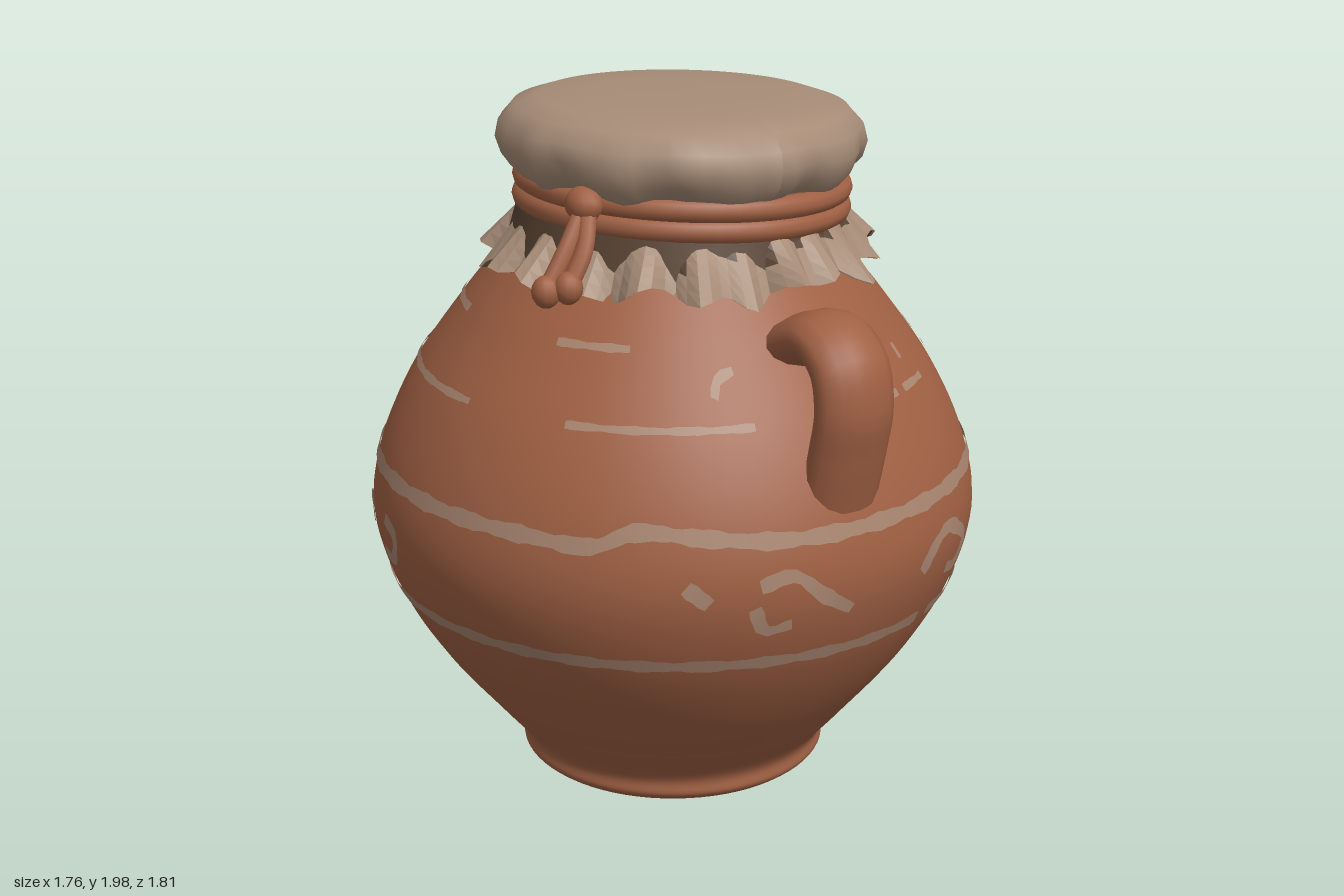
import * as THREE from 'three';

const mat = (name, color, side = THREE.FrontSide) => {
  const m = new THREE.MeshStandardMaterial({ color, side });
  m.name = name;
  return m;
};

export function createModel() {
  const root = new THREE.Group();
  root.name = 'coveredClayJar';
  const clay = mat('clay', 0xa06043);
  const paint = mat('palePaint', 0xa88570, THREE.DoubleSide);
  const cloth = mat('cloth', 0xa78c77, THREE.DoubleSide);
  const shade = mat('darkBrown', 0x594433, THREE.DoubleSide);

  const add = (name, geo, material, parent = root) => {
    const m = new THREE.Mesh(geo, material);
    m.name = name;
    parent.add(m);
    return m;
  };
  const v2 = (list) => list.map(([x, y]) => new THREE.Vector2(x, y));
  const v3 = (list) => list.map((p) => new THREE.Vector3(...p));

  // Jar body
  const profile = new THREE.SplineCurve(v2([
    [0.425, 0.01], [0.45, 0.035], [0.455, 0.09], [0.545, 0.2], [0.705, 0.4], [0.82, 0.6], [0.875, 0.8],
    [0.845, 0.99], [0.75, 1.2], [0.61, 1.4], [0.53, 1.5], [0.47, 1.57],
  ])).getPoints(66);
  add('jarBody', new THREE.LatheGeometry(profile, 72), clay);
  const base = add('jarBase', new THREE.CircleGeometry(0.425, 72), clay);
  base.rotation.x = Math.PI / 2;
  base.position.y = 0.01;
  add('jarNeck', new THREE.CylinderGeometry(0.43, 0.505, 0.27, 40, 1, true), shade).position.set(0.015, 1.645, 0);

  // Radius of the body at a height
  const radiusAt = (y) => {
    let i = 1;
    while (i < profile.length - 1 && profile[i].y < y) i++;
    const a = profile[i - 1], b = profile[i];
    return a.x + (b.x - a.x) * (y - a.y) / (b.y - a.y);
  };

  // Painted stroke on the body through [degrees, height] points
  const decoration = new THREE.Group();
  decoration.name = 'paintedDecoration';
  root.add(decoration);
  const stroke = (name, pts, width, closed = false) => {
    const R = 0.85;
    const curve = new THREE.CatmullRomCurve3(
      pts.map(([a, y]) => new THREE.Vector3(THREE.MathUtils.degToRad(a) * R, y, 0)), closed, 'centripetal');
    const n = Math.max(4, Math.ceil(curve.getLength() / 0.025));
    const pos = [], index = [];
    for (let i = 0; i <= n; i++) {
      const p = curve.getPointAt(i / n), t = curve.getTangentAt(i / n);
      const w = width * (0.5 + 0.08 * Math.sin(i * 0.9) + 0.05 * Math.sin(i * 2.3));
      for (const s of [1, -1]) {
        const a = (p.x - t.y * w * s) / R, y = p.y + t.x * w * s, r = radiusAt(y) + 0.005;
        pos.push(r * Math.sin(a), y, r * Math.cos(a));
      }
      if (i < n) index.push(2 * i, 2 * i + 1, 2 * i + 3, 2 * i, 2 * i + 3, 2 * i + 2);
    }
    const g = new THREE.BufferGeometry();
    g.setAttribute('position', new THREE.Float32BufferAttribute(pos, 3));
    g.setIndex(index);
    g.computeVertexNormals();
    add(name, g, paint, decoration);
  };

  // Bands around the belly
  stroke('upperBand', [[-180, 0.97], [-60, 0.965], [-45, 0.96], [-38, 1.0], [-25, 0.985], [-10, 0.965], [90, 0.975], [180, 0.97]], 0.042);
  stroke('lowerBand', [[-180, 0.61], [-40, 0.615], [24, 0.605]], 0.036);
  stroke('lowerBand', [[28, 0.605], [90, 0.615], [180, 0.61]], 0.036);

  // Lattice and scrolls on the right side, mirrored about its middle
  for (const s of [-1, 1]) {
    const at = (list) => list.map(([u, y]) => [91 + s * THREE.MathUtils.radToDeg(Math.asin(u / 0.86)), y]);
    stroke('latticeDiagonal', at([[0, 0.92], [0.11, 0.79], [0.22, 0.67]]), 0.05);
    stroke('latticePeak', at([[0, 0.91], [0.07, 0.97]]), 0.05);
    stroke('latticeFoot', at([[0.24, 0.7], [0.24, 0.62]]), 0.09);
    stroke('latticeScroll', at([[0.2, 0.66], [0.3, 0.72], [0.39, 0.8], [0.37, 0.87], [0.29, 0.91], [0.22, 0.88], [0.27, 0.85]]), 0.042);
    stroke('latticeTop', at([[0.13, 0.96], [0.2, 0.88]]), 0.05);
  }
  stroke('latticeDot', [[91, 0.755], [91, 0.69]], 0.06);

  // Loose scrolls, [middle angle, mirror]
  for (const [c, s] of [[29, 1], [151, -1]]) {
    stroke('scroll', [[-9, 0.77], [-5, 0.83], [0, 0.86], [5, 0.83], [9, 0.78], [6, 0.72], [1, 0.73]]
      .map(([a, y]) => [c + a * s, y]), 0.04);
  }
  for (const c of [-8, 197]) {
    stroke('scroll', [[-8, 0.85], [-2, 0.87], [4, 0.8], [10, 0.74]].map(([a, y]) => [c + a, y]), 0.038);
    stroke('scrollHook', [[-9, 0.79], [-7, 0.72], [-2, 0.73]].map(([a, y]) => [c + a, y]), 0.034);
  }
  stroke('mark', [[-29, 0.86], [-25, 0.81]], 0.04);
  stroke('mark', [[171, 0.84], [176, 0.78]], 0.04);
  stroke('mark', [[210, 0.86], [217, 0.86]], 0.03);
  stroke('mark', [[236, 0.84], [236, 0.75]], 0.04);
  stroke('mark', [[246, 0.83], [251, 0.85], [253, 0.79]], 0.032);
  stroke('mark', [[262, 0.85], [267, 0.82], [265, 0.74], [260, 0.74]], 0.036);

  // Thin shoulder lines and dashes
  for (const [a, b, y] of [[-54, -14, 1.24], [22, 26, 1.24], [29, 40, 1.24], [62, 67, 1.235], [211, 280, 1.24],
    [-62, -42, 1.42], [231, 258, 1.42]]) {
    stroke('shoulderLine', [[a, y], [(a + b) / 2, y], [b, y]], 0.018);
  }
  for (const a of [35, 60, 84, 97, 103]) stroke('shoulderDash', [[a, 1.3], [a, 1.34]], 0.02);
  stroke('shoulderHook', [[-22, 1.31], [-21, 1.35], [-17, 1.37]], 0.026);

  // Loop handles, front and back
  for (const [s, x] of [[1, 0.045], [-1, -0.035]]) {
    const path = new THREE.CatmullRomCurve3(v3([
      [0, 1.38, 0.55], [0, 1.43, 0.63], [0, 1.455, 0.72], [0, 1.4, 0.81], [0, 1.29, 0.838], [0, 1.17, 0.815], [0, 1.02, 0.775],
    ]));
    const h = add(s > 0 ? 'frontHandle' : 'backHandle', new THREE.TubeGeometry(path, 32, 0.071, 14), clay);
    h.scale.x = 1.65;
    h.position.x = x;
    if (s < 0) h.rotation.y = Math.PI;
  }

  // Cloth cover: rounded cap with gathered folds near its rim
  const cover = new THREE.Group();
  cover.name = 'clothCover';
  cover.position.set(0.025, 0, 0);
  root.add(cover);
  const cap = new THREE.LatheGeometry(v2([
    [0.42, 1.75], [0.465, 1.775], [0.5, 1.81], [0.518, 1.86], [0.51, 1.91], [0.47, 1.955], [0.4, 1.978], [0.25, 1.985], [0.0001, 1.987],
  ]), 72);
  const p = cap.attributes.position;
  for (let i = 0; i < p.count; i++) {
    const x = p.getX(i), y = p.getY(i), z = p.getZ(i), a = Math.atan2(x, z);
    const low = THREE.MathUtils.clamp((1.95 - y) / 0.17, 0, 1);
    const k = 1 + low * (0.018 * Math.sin(13 * a + 1) + 0.012 * Math.sin(21 * a));
    p.setXYZ(i, x * k, y - x * 0.02 + low * 0.012 * Math.sin(9 * a), z * k);
  }
  cap.computeVertexNormals();
  add('clothCap', cap, cloth, cover);

  // Pleated frill; some upper folds fall into dark gaps
  const N = 110, rings = 5, pos = [], light = [], dark = [];
  for (let j = 0; j <= rings; j++) {
    const t = j / rings;
    for (let i = 0; i < N; i++) {
      const a = i / N * Math.PI * 2;
      const fold = Math.sin(22 * a + 1.2 * Math.sin(3 * a)) + 0.5 * Math.sin(13 * a);
      const r = 0.435 + 0.115 * t + 0.03 * t * fold;
      const y = 1.69 - 0.155 * t + t * (0.018 * Math.sin(7 * a) + 0.02 * Math.sin(17 * a + 1));
      pos.push(r * Math.sin(a), y, r * Math.cos(a));
      if (j < rings) {
        const b = j * N + i, c = j * N + (i + 1) % N;
        const gap = (j < 2 && fold < -0.5) || (j === 2 && fold < -1.2);
        (gap ? dark : light).push(b, b + N, c + N, b, c + N, c);
      }
    }
  }
  const frillPart = (name, index, material) => {
    const g = new THREE.BufferGeometry();
    g.setAttribute('position', new THREE.Float32BufferAttribute(pos, 3));
    g.setIndex(index);
    const flat = g.toNonIndexed();
    flat.computeVertexNormals();
    return add(name, flat, material, cover);
  };
  frillPart('frill', light, cloth);
  frillPart('frillGaps', dark, shade);
  frillPart('frillLining', light, shade).scale.set(0.985, 0.999, 0.985);

  // Cord wound twice around the neck
  const cord = new THREE.Group();
  cord.name = 'cord';
  cord.position.set(0.03, 1.715, 0);
  cord.rotation.z = -0.05;
  root.add(cord);
  for (const y of [-0.028, 0.028]) {
    const ring = add('cordRing', new THREE.TorusGeometry(0.447, 0.034, 10, 56), clay, cord);
    ring.rotation.x = Math.PI / 2;
    ring.position.y = y;
  }

  // Knots, disc and hanging tails
  const ball = (name, at, size) => {
    const b = add(name, new THREE.SphereGeometry(1, 12, 8), clay);
    b.position.set(...at);
    b.scale.set(...size);
    return b;
  };
  const tail = (pts) => {
    add('cordTail', new THREE.TubeGeometry(new THREE.CatmullRomCurve3(v3(pts)), 10, 0.026, 8), clay);
    ball('tailKnob', pts[pts.length - 1], [0.04, 0.045, 0.04]);
  };
  const disc = add('knotDisc', new THREE.LatheGeometry(v2([
    [0, -0.025], [0.09, -0.025], [0.117, -0.012], [0.117, 0.012], [0.095, 0.028], [0, 0.022],
  ]), 16), clay);
  const discHolder = new THREE.Group();
  discHolder.name = 'sideKnot';
  disc.rotation.x = Math.PI / 2;
  discHolder.add(disc);
  discHolder.position.set(0.55, 1.77, -0.245);
  discHolder.rotation.y = THREE.MathUtils.degToRad(118);
  root.add(discHolder);
  ball('knot', [0.53, 1.66, -0.24], [0.05, 0.045, 0.06]);
  tail([[0.52, 1.67, -0.24], [0.58, 1.59, -0.27], [0.61, 1.5, -0.3]]);
  tail([[0.52, 1.67, -0.23], [0.6, 1.57, -0.19], [0.65, 1.49, -0.16]]);
  ball('knot', [-0.41, 1.765, 0.22], [0.05, 0.05, 0.06]);
  tail([[-0.41, 1.76, 0.22], [-0.48, 1.67, 0.26], [-0.56, 1.56, 0.28]]);
  tail([[-0.41, 1.75, 0.24], [-0.45, 1.66, 0.29], [-0.51, 1.57, 0.31]]);

  return root;
}
